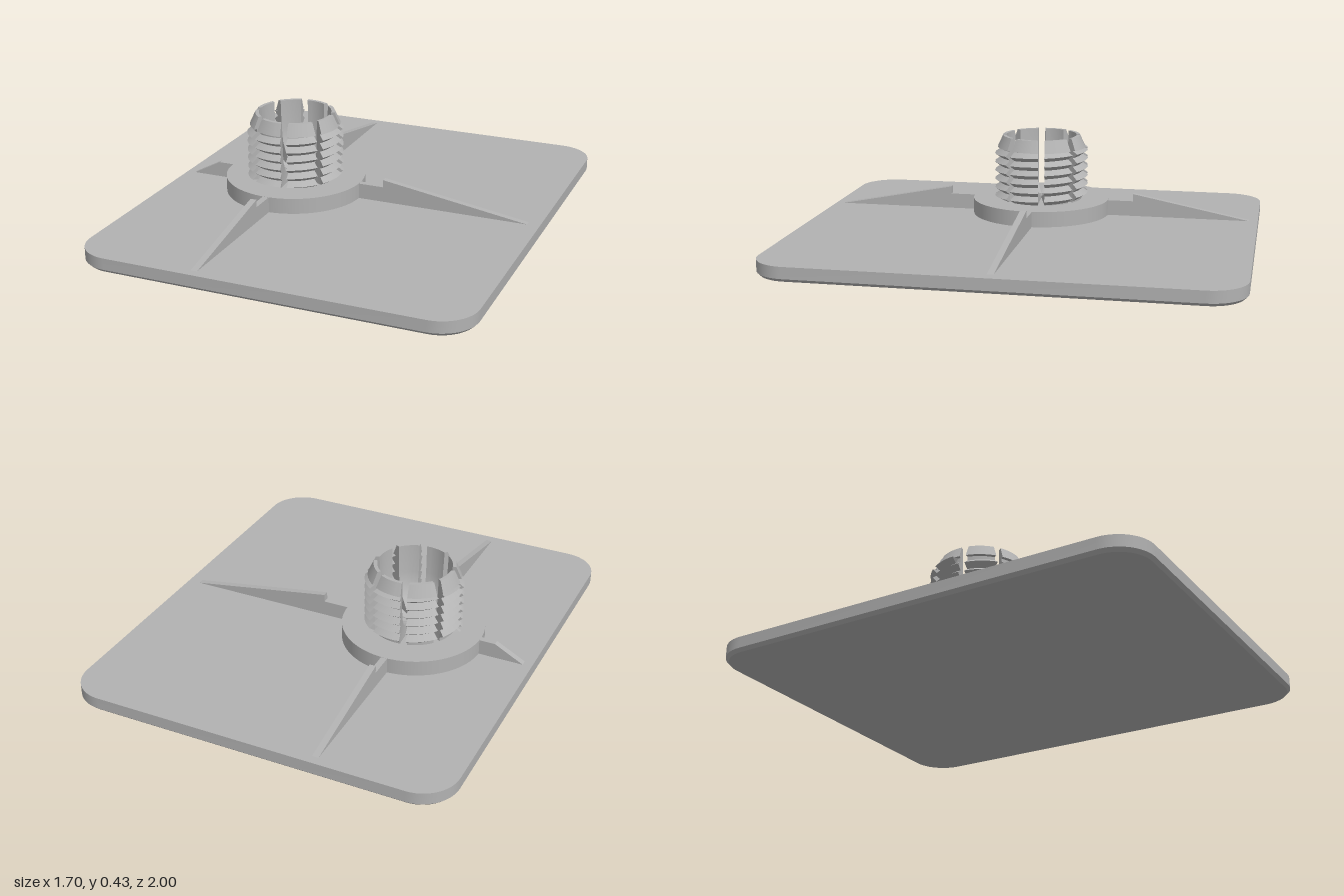
import * as THREE from 'three';
import { toCreasedNormals } from 'three/addons/utils/BufferGeometryUtils.js';

const CX = -0.295;          // axis of the boss
const PLATE_TOP = 0.065, FLANGE_TOP = 0.135;

// Joins profile loops (one per station, anticlockwise seen from above) into a surface.
function loft(stations, capProfiles) {
  const pos = [];
  const tri = (a, b, c) => {
    const n = b.clone().sub(a).cross(c.clone().sub(a));
    if (n.length() > 1e-10) for (const p of [a, b, c]) pos.push(p.x, p.y, p.z);
  };
  for (let i = 0; i + 1 < stations.length; i++) {
    const A = stations[i], B = stations[i + 1];
    for (let j = 0; j < A.length; j++) {
      const k = (j + 1) % A.length;
      tri(A[j], B[j], B[k]);
      tri(A[j], B[k], A[k]);
    }
  }
  // flat end walls
  (capProfiles || []).forEach((prof, end) => {
    const S = end ? stations[stations.length - 1] : stations[0];
    for (const [a, b, c] of THREE.ShapeUtils.triangulateShape(prof, [])) {
      const ccw = !THREE.ShapeUtils.isClockWise([prof[a], prof[b], prof[c]]);
      if (ccw === (end === 0)) tri(S[a], S[b], S[c]);
      else tri(S[a], S[c], S[b]);
    }
  });
  const g = new THREE.BufferGeometry();
  g.setAttribute('position', new THREE.Float32BufferAttribute(pos, 3));
  return toCreasedNormals(g, 0.4);
}

// Rounded rectangular plate with a small chamfer underneath
function plateGeometry() {
  const stations = [];
  const corners = [[1, 1], [-1, 1], [-1, -1], [1, -1]];
  const R = 0.16, N = 12;
  for (let c = 0; c <= 4; c++) {
    const [sx, sz] = corners[c % 4];
    for (let i = 0; i <= (c === 4 ? 0 : N); i++) {
      const a = (c % 4 + i / N) * Math.PI / 2;
      const p = (inset, y) => new THREE.Vector3(
        sx * (0.85 - R) + (R - inset) * Math.cos(a), y,
        -(sz * (1 - R) + (R - inset) * Math.sin(a)));
      stations.push([new THREE.Vector3(0, 0, 0), p(0.014, 0), p(0, 0.014),
        p(0, PLATE_TOP), new THREE.Vector3(0, PLATE_TOP, 0)]);
    }
  }
  return loft(stations);
}

// Radius/height loop of the hollow stud wall at one angle, with a helical thread
function studProfile(theta) {
  const y0 = FLANGE_TOP, y1 = 0.375, pitch = 0.04, root = 0.188, crest = 0.216;
  const pts = [new THREE.Vector2(root, y0 - 0.005)];
  for (let k = -3; k <= 13; k++) {
    const y = y0 + pitch * (k / 2 + theta / (2 * Math.PI));
    const clamped = y <= y0 || y >= y1;
    pts.push(new THREE.Vector2(clamped || k % 2 === 0 ? root : crest,
      THREE.MathUtils.clamp(y, y0, y1)));
  }
  const rest = [[0.203, 0.376], [0.178, 0.43], [0.162, 0.43], [0.157, 0.3], [0.147, 0.235],
    [0.12, 0.19], [0.085, 0.163], [0.03, 0.146], [0.03, y0 - 0.005]];
  for (const [r, y] of rest) pts.push(new THREE.Vector2(r, y));
  return pts;
}

// Half width of the slot between two wall segments
const slotHalf = r => r < 0.13 ? 0.018 * (r - 0.025) / 0.105 : 0.018 - (r - 0.13) * 0.05;

function studSegment(mid) {
  const stations = [], profiles = [], N = 10, half = Math.PI / 8;
  for (let i = 0; i <= N; i++) {
    const t = i / N * 2 - 1;
    const prof = studProfile(mid + t * half * 0.88);
    profiles.push(prof);
    stations.push(prof.map(p => {
      const a = mid + t * (half - Math.asin(slotHalf(p.x) / p.x));
      return new THREE.Vector3(p.x * Math.cos(a), p.y, -p.x * Math.sin(a));
    }));
  }
  return loft(stations, [profiles[0], profiles[N]]);
}

// Thin upright rib; outline is distance from the boss axis and height
function ribGeometry(outline) {
  const shape = new THREE.Shape(outline.map(([d, y]) => new THREE.Vector2(d, y)));
  const g = new THREE.ExtrudeGeometry(shape, { depth: 0.028, bevelEnabled: false });
  return g.translate(0, 0, -0.014);
}

export function createModel() {
  const model = new THREE.Group();
  const grey = new THREE.MeshStandardMaterial({ color: 0xb2b2b2 });
  grey.name = 'plain grey';
  const add = (name, geometry, parent = model) => {
    const m = new THREE.Mesh(geometry, grey);
    m.name = name;
    parent.add(m);
    return m;
  };

  add('basePlate', plateGeometry());

  // Round flange under the stud
  const h = FLANGE_TOP - PLATE_TOP + 0.01;
  add('flange', new THREE.CylinderGeometry(0.315, 0.315, h, 72))
    .position.set(CX, FLANGE_TOP - h / 2, 0);

  // Slotted, threaded stud
  const stud = new THREE.Group();
  stud.name = 'threadedStud';
  stud.position.x = CX;
  model.add(stud);
  for (let i = 0; i < 8; i++) {
    add('studSegment', studSegment((10 + 22.5 + i * 45) * Math.PI / 180), stud);
  }

  // Four ribs: three long stepped ones and a short one towards the near edge
  const b = PLATE_TOP - 0.01;
  const stepped = tip => [[0.3, b], [tip, b], [tip, PLATE_TOP], [0.43, 0.168],
    [0.43, FLANGE_TOP - 0.001], [0.3, FLANGE_TOP - 0.001]];
  const short = [[0.3, b], [0.515, b], [0.515, PLATE_TOP], [0.385, FLANGE_TOP - 0.001],
    [0.3, FLANGE_TOP - 0.001]];
  const ribs = [['leftRib', stepped(1.09), 0], ['backRib', stepped(0.96), 1],
    ['rightRib', short, 2], ['frontRib', stepped(0.96), 3]];
  for (const [name, outline, turn] of ribs) {
    const rib = add(name, ribGeometry(outline));
    rib.position.x = CX;
    rib.rotation.y = turn * Math.PI / 2;
  }
  return model;
}
